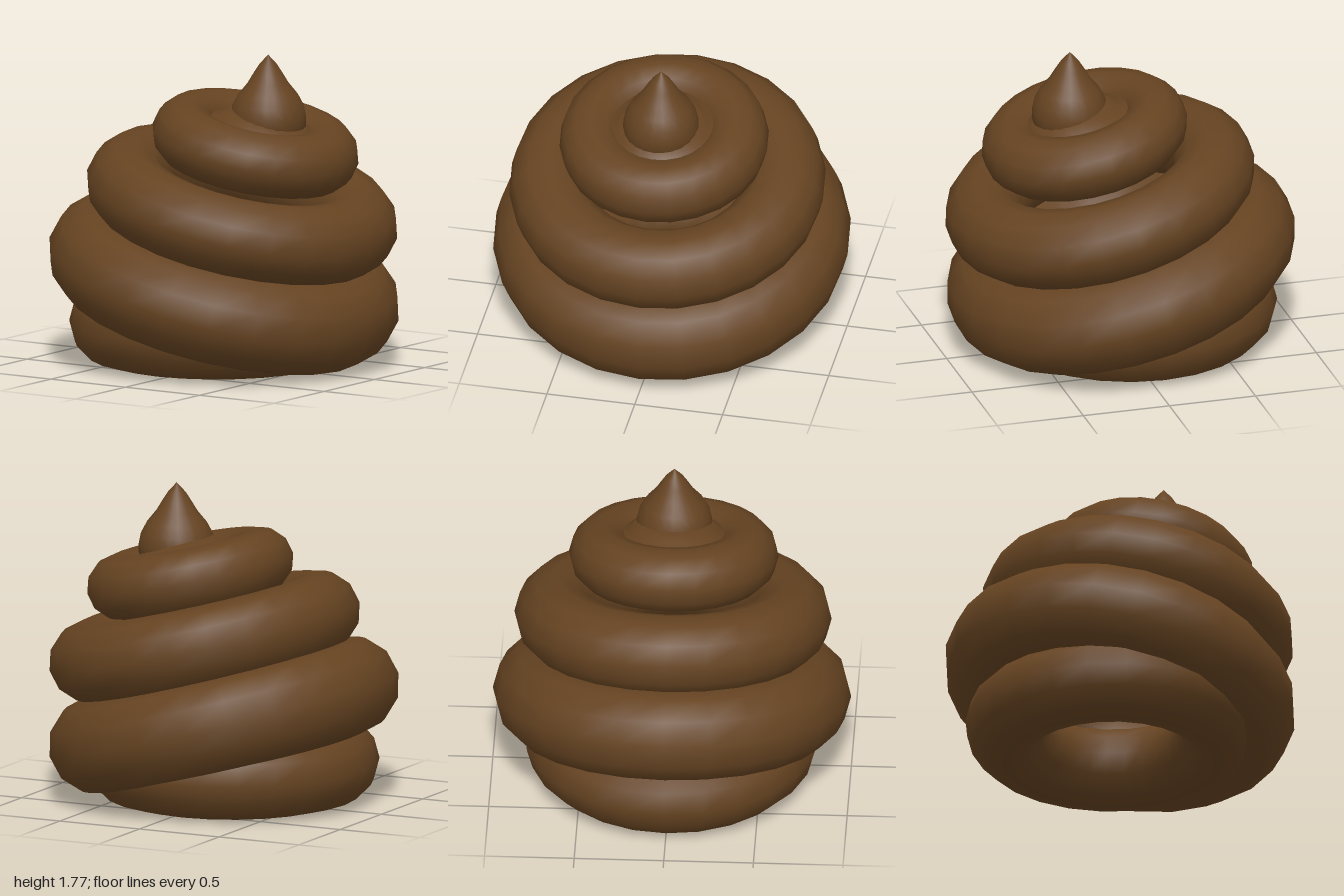
import * as THREE from 'three';

export function createModel() {
  const model = new THREE.Group();
  const material = new THREE.MeshStandardMaterial({ color: 0x654321 });

  const add = (name, geometry, x, y, tilt = 0) => {
    const mesh = new THREE.Mesh(geometry, material);
    mesh.name = name;
    mesh.position.set(x, y, 0);
    mesh.rotation.z = -THREE.MathUtils.degToRad(tilt);
    model.add(mesh);
  };
  const lathe = (points) =>
    new THREE.LatheGeometry(points.map(([r, y]) => new THREE.Vector2(r, y)), 24);

  // Stacked coils: ring radius, tube radius, centre x, centre y, downward tilt toward +x
  const coils = [
    ['baseCoil', 0.595, 0.23, -0.06, 0.23, 0],
    ['lowerCoil', 0.73, 0.27, -0.012, 0.476, 15.2],
    ['middleCoil', 0.66, 0.225, 0.11, 0.91, 14],
    ['upperCoil', 0.405, 0.18, 0.2, 1.26, 12.4],
  ];
  for (const [name, ring, tube, x, y, tilt] of coils) {
    add(name, new THREE.TorusGeometry(ring, tube, 12, 24).rotateX(Math.PI / 2), x, y, tilt);
  }

  // Shallow dish closing the upper coil and flaring up into the peak
  add('peakCollar', lathe([
    [0, 0.02], [0.3, 0.04], [0.35, 0.09], [0.31, 0.115], [0.25, 0.14], [0.2, 0.19], [0, 0.2],
  ]), 0.235, 1.25, 12.4);

  // Bulb drawn up to a soft point
  add('peak', lathe([
    [0, 0], [0.19, 0], [0.212, 0.08], [0.212, 0.13], [0.2, 0.19], [0.168, 0.25],
    [0.115, 0.315], [0.082, 0.37], [0.05, 0.42], [0, 0.475],
  ]), 0.285, 1.295);

  return model;
}
